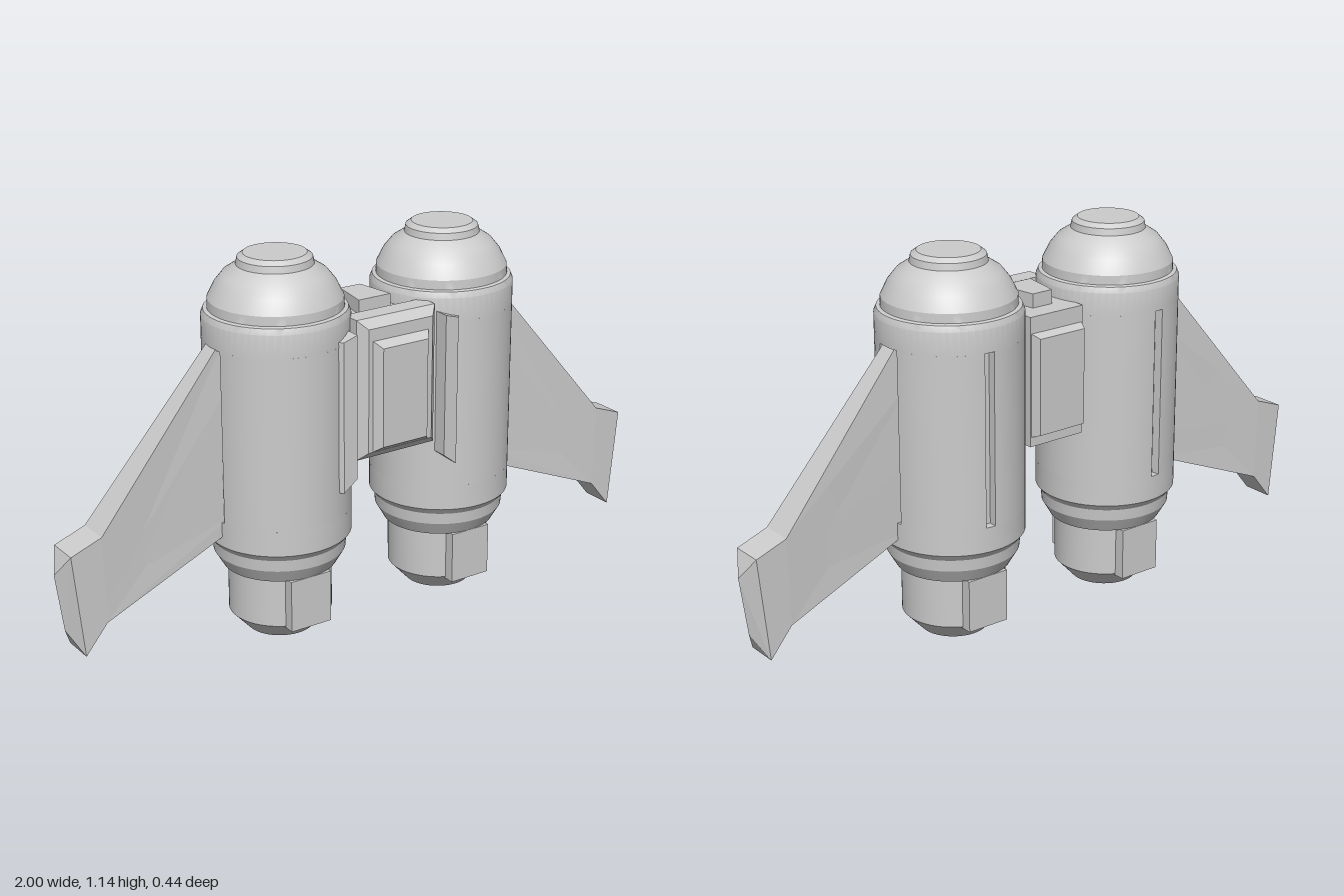
import * as THREE from 'three';
import { toCreasedNormals } from 'three/addons/utils/BufferGeometryUtils.js';

const grey = new THREE.MeshStandardMaterial({ color: 0xcccccc });
const R = 0.211, SLOT_LOW = 0.385, SLOT_TOP = 0.9, MID_X = 0.0075;

function add(parent, name, geometry, x = 0, y = 0, z = 0) {
  const mesh = new THREE.Mesh(geometry, grey);
  mesh.name = name;
  mesh.position.set(x, y, z);
  parent.add(mesh);
  return mesh;
}

// Turned part with sharp rims; profile runs from the bottom up as [radius, y]
function turned(profile) {
  const points = profile.map(([r, y]) => new THREE.Vector2(r, y));
  return toCreasedNormals(new THREE.LatheGeometry(points, 64), 0.4);
}

// Box whose +z face is inset by a bevel
function block(w, h, d, inset = 0) {
  const g = new THREE.BoxGeometry(w, h, d), p = g.attributes.position;
  for (let i = 0; i < p.count; i++) {
    if (p.getZ(i) < 0) continue;
    p.setX(i, p.getX(i) - Math.sign(p.getX(i)) * inset);
    p.setY(i, p.getY(i) - Math.sign(p.getY(i)) * inset);
  }
  return toCreasedNormals(g, 0.1);
}

// Upright prism from an outline of [x, z] points
function prism(outline, height) {
  const shape = new THREE.Shape(outline.map(([x, z]) => new THREE.Vector2(x, -z)));
  const g = new THREE.ExtrudeGeometry(shape, { depth: height, bevelEnabled: false });
  g.rotateX(-Math.PI / 2);
  return toCreasedNormals(g, 0.4);
}

// Round section with narrow grooves: one for the fin, one at the back
function groovedOutline() {
  const grooves = [[0, 0.19], [-Math.PI / 2 + 0.09, 0.07]];
  const steps = [];
  for (let i = 0; i < 72; i++) {
    const a = -Math.PI + (i / 72) * Math.PI * 2;
    if (grooves.every(([c, w]) => Math.abs(a - c) > w)) steps.push([a, R]);
  }
  for (const [c, w] of grooves) {
    steps.push([c - w, R], [c - w + 0.0001, R - 0.025], [c + w - 0.0001, R - 0.025], [c + w, R]);
  }
  steps.sort((a, b) => a[0] - b[0]);
  return steps.map(([a, r]) => [r * Math.cos(a), r * Math.sin(a)]);
}

function makePod() {
  const pod = new THREE.Group();
  add(pod, 'podBase', turned([
    [0, 0.03], [0.07, 0.03], [0.075, 0.004], [0.1, 0.004], [0.152, 0.06], [0.152, 0.212],
    [0.168, 0.212], [0.193, 0.255], [0.196, 0.29], [R, 0.31], [R, SLOT_LOW], [0, SLOT_LOW],
  ]));
  add(pod, 'podBody', prism(groovedOutline(), SLOT_TOP - SLOT_LOW), 0, SLOT_LOW, 0);
  add(pod, 'podDome', turned([
    [0, SLOT_TOP], [R, SLOT_TOP], [R, 0.968], [0.204, 0.985], [0.193, 0.988], [0.192, 1.015],
    [0.172, 1.055], [0.148, 1.085], [0.11, 1.11], [0.106, 1.13], [0.09, 1.142], [0, 1.142],
  ]));
  // Nozzle clamps, front and back
  for (const s of [1, -1]) add(pod, 'nozzleClamp', block(0.135, 0.158, 0.07), 0, 0.134, s * 0.134);
  // Raised strip on the inner front of the pod
  const strip = add(pod, 'frontStrip', prism(
    [[-0.135, 0.1], [-0.135, 0.208], [-0.09, 0.207], [-0.07, 0.18], [-0.07, 0.1]], 0.43), 0, 0.5, 0);
  const p = strip.geometry.attributes.position;
  for (let i = 0; i < p.count; i++) {
    // ends slant towards the outer edge
    if (p.getX(i) > -0.1) p.setY(i, 0.215 + (p.getY(i) - 0.215) * 1.05 - 0.025);
  }
  strip.geometry = toCreasedNormals(strip.geometry, 0.4);
  return pod;
}

// Swept fin with a thick, ridged end plate; points are [x, y, half thickness]
function finGeometry() {
  const pts = [
    [0.45, 0.95, 0.025], [0.875, 0.445, 0.05], [0.97, 0.41, 0.05], [0.94, 0.1, 0.05],
    [0.87, 0.185, 0.05], [0.45, 0.355, 0.033], [0.45, 0.79, 0.03], [0.745, 0.425, 0.042],
    [0.74, 0.32, 0.042], [0.45, 0.4, 0.033], [1, 0.345, 0], [0.977, 0.17, 0],
  ];
  const n = pts.length, index = [];
  const quad = (a, b, c, d) => index.push(a, b, c, a, c, d);
  const sides = [[0, 6, 7, 1], [6, 9, 8, 7], [9, 5, 4, 8], [7, 8, 4, 1], [1, 4, 3, 2], [2, 3, 11, 10]];
  for (const [a, b, c, d] of sides) {
    quad(a, b, c, d);
    quad(d + n, c + n, b + n, a + n);
  }
  for (const [a, b] of [[0, 1], [1, 2], [2, 10], [11, 3], [3, 4], [4, 5]]) quad(a, b, b + n, a + n);
  const g = new THREE.BufferGeometry();
  const all = [...pts, ...pts.map(([x, y, z]) => [x, y, -z])];
  g.setAttribute('position', new THREE.Float32BufferAttribute(all.flat(), 3));
  g.setIndex(index);
  return toCreasedNormals(g, 0.02);
}

function makeCentre() {
  const c = new THREE.Group();
  add(c, 'bridge', block(0.19, 0.39, 0.26), 0, 0.74, 0.005);
  // Front housing with a framed panel
  add(c, 'frontHousing', block(0.27, 0.42, 0.06), 0, 0.75, 0.14);
  add(c, 'frontBevel', block(0.27, 0.42, 0.025, 0.025), 0, 0.75, 0.1825);
  add(c, 'frontPanel', block(0.198, 0.34, 0.03, 0.022), 0, 0.732, 0.205);
  // Back plate
  const back = add(c, 'backPanel', block(0.19, 0.32, 0.04, 0.015), 0, 0.73, -0.133);
  back.rotation.y = Math.PI;
  // Cap on top
  add(c, 'topCap', prism([[-0.035, -0.06], [-0.055, 0.065], [0.055, 0.065], [0.035, -0.06]], 0.045),
    0, 0.932, 0);
  return c;
}

export function createModel() {
  const model = new THREE.Group();
  model.name = 'jetpack';
  const fin = finGeometry();
  for (const s of [1, -1]) {
    const label = s > 0 ? 'left' : 'right';
    const pod = makePod();
    pod.name = label + 'Pod';
    pod.position.set(MID_X + s * 0.2875, 0, -0.006);
    pod.scale.x = s;
    model.add(pod);
    add(model, label + 'Fin', fin, 0, 0, s > 0 ? 0.004 : -0.012).scale.x = s;
  }
  const centre = makeCentre();
  centre.name = 'centreUnit';
  centre.position.x = MID_X;
  model.add(centre);
  return model;
}
